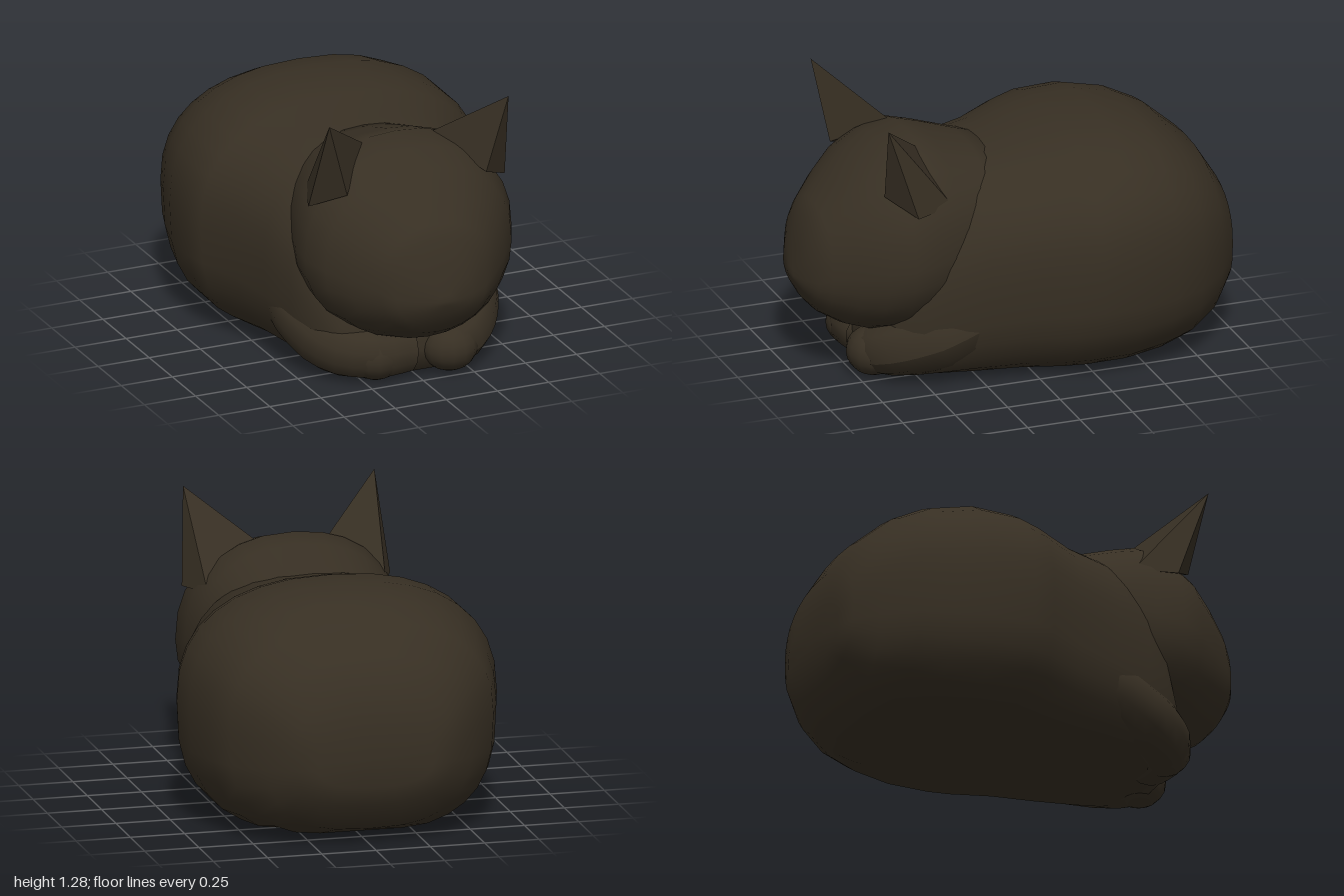
import * as THREE from 'three';

const fur = new THREE.MeshStandardMaterial({ color: 0x372f23 });
fur.name = 'dark brown fur';

// Skin over cross-sections [z, halfWidth, bottom, widest, top], ordered back to front;
// the powers set how square the upper and lower halves are
function loft(sections, sides, upper, lower, floor = 0) {
  const pos = [], idx = [];
  const bend = (v, power) => Math.sign(v) * Math.pow(Math.abs(v), 2 / power);
  for (const [z, w, yb, ym, yt] of sections) {
    for (let j = 0; j < sides; j++) {
      const a = (j / sides) * Math.PI * 2;
      const power = Math.sin(a) > 0 ? upper : lower;
      const s = bend(Math.sin(a), power);
      const y = ym + s * (s > 0 ? yt - ym : ym - yb);
      pos.push(w * bend(Math.cos(a), power), Math.max(floor, y), z);
    }
  }
  const last = sections.length - 1;
  for (let i = 0; i < last; i++) {
    for (let j = 0; j < sides; j++) {
      const k = (j + 1) % sides;
      const a = i * sides + j, b = i * sides + k, c = a + sides, d = b + sides;
      idx.push(a, b, c, b, d, c);
    }
  }
  const back = pos.length / 3, front = back + 1;
  pos.push(0, sections[0][3], sections[0][0], 0, sections[last][3], sections[last][0]);
  for (let j = 0; j < sides; j++) {
    const k = (j + 1) % sides;
    idx.push(back, k, j, front, last * sides + j, last * sides + k);
  }
  const geo = new THREE.BufferGeometry();
  geo.setAttribute('position', new THREE.Float32BufferAttribute(pos, 3));
  geo.setIndex(idx);
  geo.computeVertexNormals();
  return geo;
}

// Faceted solid from a few corners
function facets(points, faces, mirror) {
  const pos = [];
  for (const f of faces) {
    for (const i of mirror ? [f[0], f[2], f[1]] : f) {
      const [x, y, z] = points[i];
      pos.push(mirror ? -x : x, y, z);
    }
  }
  const geo = new THREE.BufferGeometry();
  geo.setAttribute('position', new THREE.Float32BufferAttribute(pos, 3));
  geo.computeVertexNormals();
  return geo;
}

// Limb with changing thickness along a curve, kept above the ground
function limb(points, radii) {
  const curve = new THREE.CatmullRomCurve3(points.map((p) => new THREE.Vector3(...p)));
  const rings = 14, sides = 12;
  const geo = new THREE.TubeGeometry(curve, rings, 1, sides, false);
  const p = geo.attributes.position, v = new THREE.Vector3();
  for (let i = 0; i < p.count; i++) {
    const t = Math.floor(i / (sides + 1)) / rings;
    const u = t * (radii.length - 1), n = Math.min(Math.floor(u), radii.length - 2);
    const r = THREE.MathUtils.lerp(radii[n], radii[n + 1], u - n);
    const c = curve.getPointAt(t);
    v.fromBufferAttribute(p, i).sub(c).multiplyScalar(r).add(c);
    p.setXYZ(i, v.x, Math.max(0.01, v.y), v.z);
  }
  geo.computeVertexNormals();
  return geo;
}

export function createModel() {
  const model = new THREE.Group();
  const add = (name, geo) => {
    const mesh = new THREE.Mesh(geo, fur);
    mesh.name = name;
    model.add(mesh);
    return mesh;
  };

  // Curled loaf of a body, from rump to chest, flattened underneath
  add('body', loft([
    [-1.0, 0.27, 0.29, 0.42, 0.55],
    [-0.97, 0.37, 0.20, 0.46, 0.72],
    [-0.88, 0.48, 0.07, 0.50, 0.86],
    [-0.74, 0.61, 0.01, 0.52, 0.98],
    [-0.6, 0.66, -0.03, 0.53, 1.05],
    [-0.42, 0.71, -0.05, 0.54, 1.085],
    [-0.23, 0.715, -0.05, 0.54, 1.075],
    [-0.13, 0.69, -0.05, 0.53, 1.05],
    [0.05, 0.605, -0.05, 0.51, 1.0],
    [0.25, 0.555, -0.05, 0.48, 0.97],
    [0.42, 0.50, -0.05, 0.42, 0.88],
    [0.53, 0.45, -0.04, 0.33, 0.66],
    [0.62, 0.36, -0.03, 0.2, 0.38],
    [0.68, 0.24, -0.01, 0.12, 0.25],
  ], 32, 2.4, 2.8, 0.025));

  // Rounded head with a blunt, lowered muzzle
  add('head', loft([
    [0.02, 0.32, 0.40, 0.70, 0.97],
    [0.18, 0.42, 0.30, 0.66, 1.01],
    [0.35, 0.47, 0.25, 0.64, 1.065],
    [0.46, 0.495, 0.22, 0.62, 1.095],
    [0.59, 0.505, 0.20, 0.60, 1.055],
    [0.70, 0.455, 0.20, 0.58, 0.995],
    [0.80, 0.375, 0.23, 0.55, 0.91],
    [0.90, 0.28, 0.29, 0.52, 0.805],
    [0.945, 0.22, 0.34, 0.49, 0.75],
    [0.98, 0.14, 0.40, 0.48, 0.61],
    [1.0, 0.04, 0.45, 0.47, 0.50],
  ], 28, 2.3, 2.1));

  // Pointed ears on broad bases: tip, outer, inner, back and front corners
  const earFaces = [[0, 2, 4], [0, 4, 1], [0, 1, 3], [0, 3, 2], [1, 4, 3], [4, 2, 3]];
  for (const side of [1, -1]) {
    const tip = side > 0 ? [0.44, 1.275, 0.70] : [0.45, 1.285, 0.73];
    add(side > 0 ? 'leftEar' : 'rightEar', facets([
      tip, [0.48, 0.85, 0.57], [0.16, 1.06, 0.46], [0.41, 0.86, 0.38], [0.34, 0.92, 0.68],
    ], earFaces, side < 0));
  }

  // Forelegs folded in front of the chest, ending in tucked paws
  add('rightForeleg', limb([
    [-0.42, 0.35, 0.1], [-0.38, 0.21, 0.36], [-0.3, 0.14, 0.54], [-0.17, 0.125, 0.63], [-0.02, 0.115, 0.62],
  ], [0.1, 0.14, 0.145, 0.13, 0.11]));
  add('leftForeleg', limb([
    [0.41, 0.37, 0.1], [0.37, 0.25, 0.36], [0.3, 0.175, 0.54], [0.22, 0.135, 0.63], [0.14, 0.115, 0.66],
  ], [0.1, 0.14, 0.155, 0.135, 0.11]));
  for (const [name, x, z] of [['rightPaw', -0.18, 0.635], ['leftPaw', 0.165, 0.67]]) {
    const paw = add(name, new THREE.SphereGeometry(1, 14, 10));
    paw.scale.set(0.13, 0.112, 0.12);
    paw.position.set(x, 0.112, z);
  }
  return model;
}
